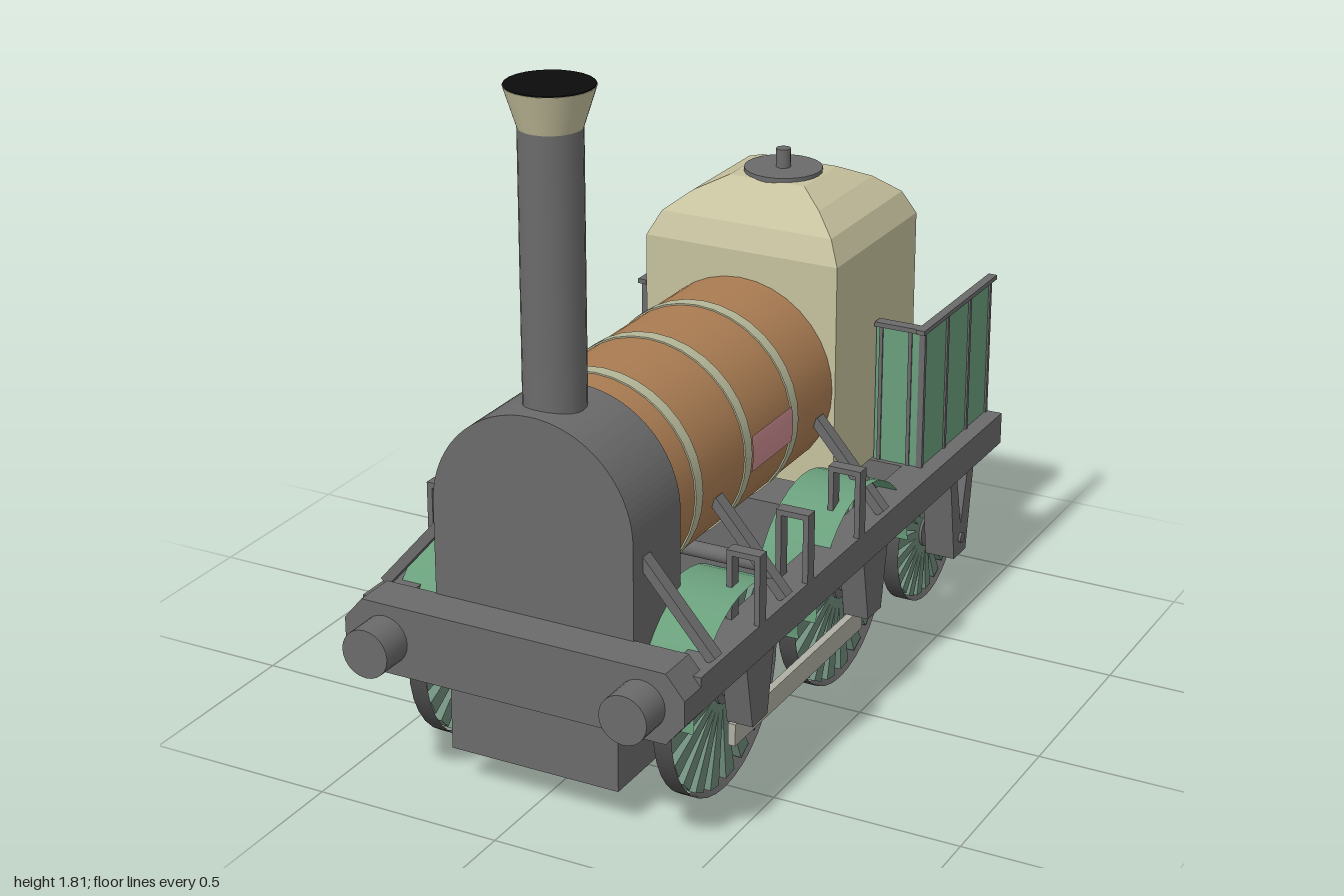
import * as THREE from 'three';

const mat = (name, color, side = THREE.FrontSide) => {
  const m = new THREE.MeshStandardMaterial({ color, side });
  m.name = name;
  return m;
};

export function createModel() {
  const root = new THREE.Group();
  root.name = 'steamLocomotive';
  const iron = mat('iron grey', 0x6b6b6b);
  const cream = mat('cream', 0xc6c19e);
  const wood = mat('wood brown', 0xab7d53);
  const bandMat = mat('boiler band', 0xb5b798);
  const pink = mat('plate pink', 0xca8b8f, THREE.DoubleSide);
  const green = mat('panel green', 0x6a9f7c, THREE.DoubleSide);
  const spokeMat = mat('spoke green', 0x6f8c7c);
  const tyre = mat('tyre grey', 0x505050, THREE.DoubleSide);
  const rodMat = mat('rod grey', 0xb0afa4);
  const black = mat('soot black', 0x0c0c0c);

  const add = (name, geo, m, x = 0, y = 0, z = 0, parent = root) => {
    const mesh = new THREE.Mesh(geo, m);
    mesh.name = name;
    mesh.position.set(x, y, z);
    parent.add(mesh);
    return mesh;
  };
  // Box given by its limits on each axis
  const box = (name, m, x0, x1, y0, y1, z0, z1) =>
    add(name, new THREE.BoxGeometry(Math.abs(x1 - x0), y1 - y0, Math.abs(z1 - z0)), m,
      (x0 + x1) / 2, (y0 + y1) / 2, (z0 + z1) / 2);
  const cylX = (r, len, seg = 20) => new THREE.CylinderGeometry(r, r, len, seg).rotateZ(Math.PI / 2);
  const cylZ = (r, len, seg = 32, open = false, t0 = 0, t = Math.PI * 2) =>
    new THREE.CylinderGeometry(r, r, len, seg, 1, open, t0, t).rotateX(Math.PI / 2);
  const polygon = pts => new THREE.Shape(pts.map(p => new THREE.Vector2(p[0], p[1])));
  // Outline in (x, y), extruded along z
  const slab = (shape, depth) =>
    new THREE.ExtrudeGeometry(shape, { depth, bevelEnabled: false, curveSegments: 24 });
  // Outline in (z, y), extruded along x and centred on it
  const sideSlab = (pts, depth) =>
    slab(polygon(pts.map(([z, y]) => [-z, y])), depth).translate(0, 0, -depth / 2).rotateY(Math.PI / 2);

  // Boiler with bands and name plates
  const boilerY = 0.755;
  add('boiler', cylZ(0.272, 0.87, 36), wood, 0, boilerY, 0.145);
  for (const z of [0.468, 0.205, -0.055]) add('boilerBand', cylZ(0.276, 0.036, 36), bandMat, 0, boilerY, z);
  for (const s of [-1, 1])
    add('sidePlate', cylZ(0.278, 0.225, 6, true, s * Math.PI / 2 - 0.175, 0.35), pink, 0, boilerY, 0.075);

  // Smokebox
  const arch = new THREE.Shape();
  arch.moveTo(-0.275, 0.4);
  arch.lineTo(0.275, 0.4);
  arch.lineTo(0.275, boilerY);
  arch.absarc(0, boilerY, 0.275, 0, Math.PI, false);
  arch.lineTo(-0.275, 0.4);
  add('smokebox', slab(arch, 0.235), iron, 0, 0, 0.565);
  box('smokeboxBase', iron, -0.235, 0.235, 0.1, 0.42, 0.56, 0.81);

  // Chimney
  add('chimney', new THREE.CylinderGeometry(0.078, 0.078, 0.73, 24), iron, 0, 1.355, 0.68);
  add('chimneyCap', new THREE.CylinderGeometry(0.11, 0.078, 0.1, 24), cream, 0, 1.757, 0.68);
  add('chimneyMouth', new THREE.CylinderGeometry(0.108, 0.108, 0.004, 24), black, 0, 1.808, 0.68);

  // Firebox: square tower with a domed roof
  const profile = [[0.28, 0.475], [0.28, 1.1], [0.248, 1.165], [0.185, 1.215], [0.11, 1.25], [0, 1.25]]
    .map(([r, y]) => new THREE.Vector2(r * Math.SQRT2, y));
  const tower = new THREE.LatheGeometry(profile, 4).rotateY(Math.PI / 4).scale(1, 1, 0.89).toNonIndexed();
  tower.computeVertexNormals();
  add('firebox', tower, cream, 0, 0, -0.53);
  add('fireboxLid', new THREE.CylinderGeometry(0.105, 0.105, 0.022, 24), iron, 0, 1.25, -0.53);
  add('lidKnob', new THREE.CylinderGeometry(0.02, 0.02, 0.06, 12), iron, 0, 1.282, -0.53);
  box('ashpan', iron, -0.235, 0.235, 0.1, 0.4, -0.79, -0.28);

  // Frame, rear platform and buffer beam
  box('rearPlatform', iron, -0.47, 0.47, 0.385, 0.475, -0.98, -0.51);
  add('bufferBeam', slab(polygon([[-0.42, 0.325], [0.42, 0.325], [0.47, 0.385], [0.47, 0.45], [0.42, 0.51],
    [-0.42, 0.51], [-0.47, 0.45], [-0.47, 0.385]]), 0.115), iron, 0, 0, 0.795);
  for (const s of [-1, 1]) {
    box('frameBeam', iron, s * 0.375, s * 0.47, 0.385, 0.475, -0.52, 0.83);
    add('buffer', cylZ(0.064, 0.1, 24), iron, s * 0.355, 0.415, 0.95);
  }

  // Wheels: hub, wedge spokes and thin tyre
  const wheel = (name, r, x, z, count, wide) => {
    const g = new THREE.Group();
    g.name = name;
    g.position.set(x, r, z);
    const spoke = sideSlab([[-0.008, 0.03], [0.008, 0.03], [wide / 2, r - 0.012], [-wide / 2, r - 0.012]], 0.035);
    for (let i = 0; i < count; i++)
      add('spoke', spoke, spokeMat, 0, 0, 0, g).rotation.x = (i + 0.5) / count * Math.PI * 2;
    add('hub', cylX(0.045, 0.05), iron, 0, 0, 0, g);
    add('tyre', new THREE.CylinderGeometry(r, r, 0.05, 36, 1, true).rotateZ(Math.PI / 2), tyre, 0, 0, 0, g);
    root.add(g);
  };
  const drive = [0.51, -0.155], rearZ = -0.715;
  for (const z of drive) add('driveAxle', cylX(0.022, 0.84), iron, 0, 0.28, z);
  add('rearAxle', cylX(0.014, 0.95), iron, 0, 0.2, rearZ);
  for (const s of [-1, 1]) {
    for (const z of drive) {
      wheel('driveWheel', 0.28, s * 0.345, z, 20, 0.046);
      // Curved guard over each driving wheel
      add('wheelGuard', new THREE.CylinderGeometry(0.283, 0.283, 0.18, 20, 1, true, 0.06, Math.PI - 0.12)
        .rotateZ(Math.PI / 2), green, s * 0.34, 0.28, z);
      add('axleGuard', sideSlab([[-0.04, 0.21], [0.04, 0.21], [0.075, 0.39], [-0.075, 0.39]], 0.07),
        iron, s * 0.43, 0, z);
    }
    wheel('rearWheel', 0.2, s * 0.345, rearZ, 20, 0.034);
    // Rear axle guard: a block held by two splayed legs
    add('rearAxleGuard', sideSlab([[-0.04, 0.15], [0.04, 0.15], [0.078, 0.39], [0.035, 0.39], [0, 0.24],
      [-0.035, 0.39], [-0.078, 0.39]], 0.085), iron, s * 0.425, 0, rearZ);
    box('couplingRod', rodMat, s * 0.385, s * 0.405, 0.13, 0.19, -0.21, 0.525);
  }

  // Handrail brackets and diagonal boiler stays
  for (const s of [-1, 1]) {
    for (const z of [0.51, 0.245, -0.055]) {
      const z0 = z - 0.018, z1 = z + 0.018;
      box('bracketOuterLeg', iron, s * 0.455, s * 0.47, 0.47, 0.66, z0, z1);
      box('bracketInnerLeg', iron, s * 0.38, s * 0.395, 0.47, 0.66, z0, z1);
      box('bracketTop', iron, s * 0.38, s * 0.47, 0.645, 0.66, z0, z1);
    }
    const dx = -0.195, dy = 0.225;
    for (const z of [0.735, 0.36, -0.21])
      add('boilerStay', new THREE.BoxGeometry(Math.hypot(dx, dy), 0.026, 0.036), iron, s * 0.36, 0.592, z)
        .rotation.z = Math.atan2(dy, s * dx);
  }

  // Side screens around the rear platform
  for (const s of [-1, 1]) {
    box('sideScreen', green, s * 0.415, s * 0.423, 0.475, 0.865, -0.97, -0.525);
    box('frontScreen', green, s * 0.285, s * 0.42, 0.475, 0.865, -0.533, -0.525);
    for (const z of [-0.97, -0.83, -0.68, -0.528])
      box('screenPost', iron, s * 0.411, s * 0.428, 0.475, 0.865, z - 0.006, z + 0.006);
    for (const x of [0.385, 0.3])
      box('frontScreenPost', iron, s * (x - 0.005), s * (x + 0.005), 0.475, 0.865, -0.537, -0.521);
    box('screenRail', iron, s * 0.407, s * 0.432, 0.862, 0.875, -1, -0.508);
    box('frontScreenRail', iron, s * 0.285, s * 0.43, 0.862, 0.875, -0.545, -0.512);
  }
  return root;
}
